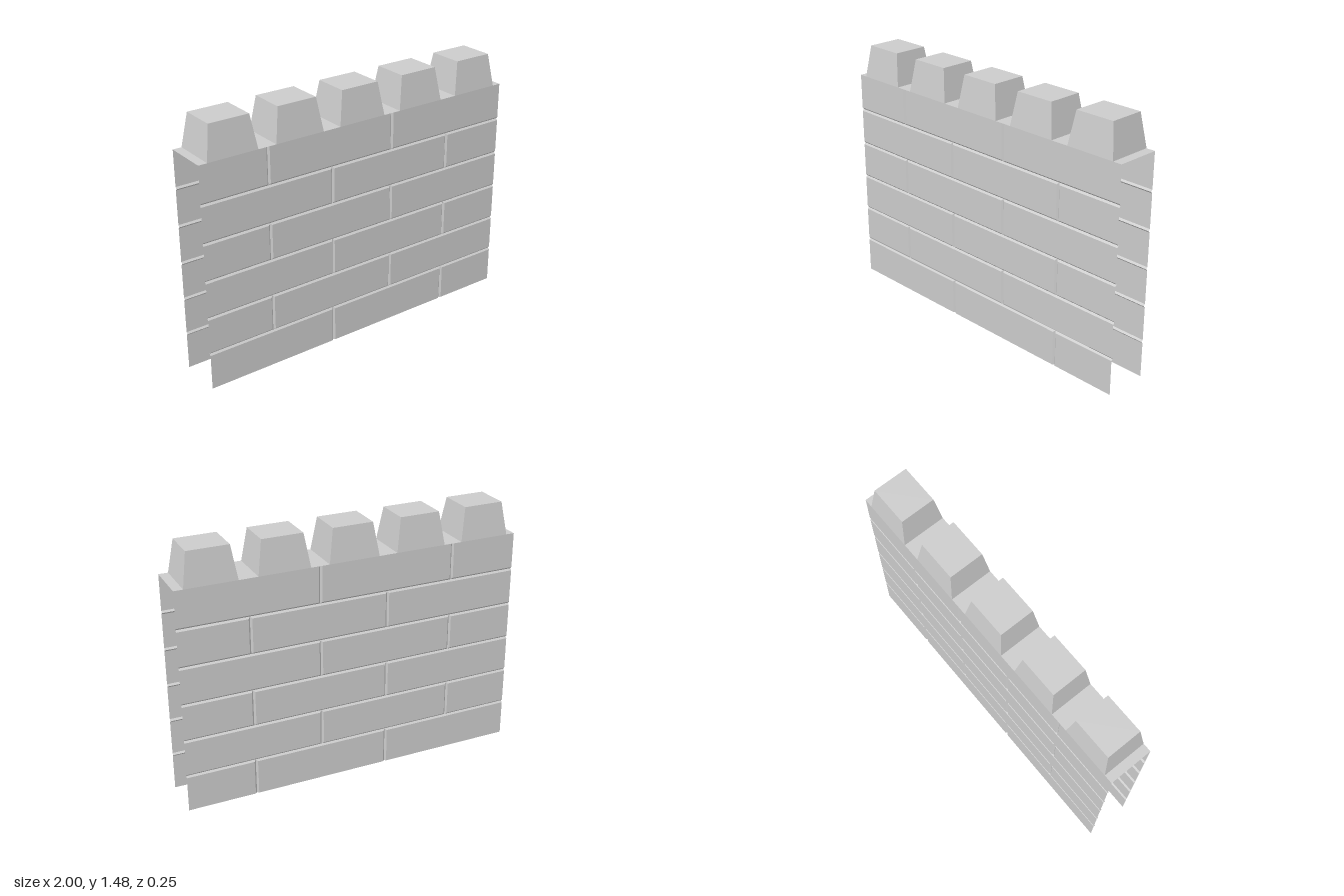
import * as THREE from 'three';
import { mergeGeometries } from 'three/addons/utils/BufferGeometryUtils.js';

const LENGTH = 2, HALF_DEPTH = 0.127, ROWS = 6, ROW_HEIGHT = 0.2158;
const WALL_TOP = ROWS * ROW_HEIGHT;
const BEVEL = 0.01, GROOVE = 0.009;

// Bottomless block rising along +z from rectangle [x0, y0, x1, y1].
// inset = [bottom, right, top, left]; a side with no inset stays open.
function taperedBlock([x0, y0, x1, y1], inset, z0, z1) {
  const [b, r, t, l] = inset;
  const base = [[x0, y0, z0], [x1, y0, z0], [x1, y1, z0], [x0, y1, z0]];
  const top = [
    [x0 + l, y0 + b, z1], [x1 - r, y0 + b, z1],
    [x1 - r, y1 - t, z1], [x0 + l, y1 - t, z1],
  ];
  const points = [];
  const quad = (p, q, s, u) => points.push(...p, ...q, ...s, ...p, ...s, ...u);
  quad(...top);
  for (let i = 0; i < 4; i++) {
    const j = (i + 1) % 4;
    if (inset[i] > 0) quad(base[i], base[j], top[j], top[i]);
  }
  const geometry = new THREE.BufferGeometry();
  geometry.setAttribute('position', new THREE.Float32BufferAttribute(points, 3));
  geometry.computeVertexNormals();
  return geometry;
}

// One brick face in running bond; flip = -1 reverses the joints for the rear side
function brickFace(flip) {
  const bricks = [];
  for (let row = 0; row < ROWS; row++) {
    const joints = (row % 2 === 0 ? [-0.2, 0.6] : [-0.6, 0.2]).map((x) => x * flip);
    const edges = [-LENGTH / 2, ...joints, LENGTH / 2].sort((a, b) => a - b);
    for (let i = 0; i < edges.length - 1; i++) {
      const inset = [
        row > 0 ? BEVEL : 0,
        i < edges.length - 2 ? BEVEL : 0,
        row < ROWS - 1 ? BEVEL : 0,
        i > 0 ? BEVEL : 0,
      ];
      const rect = [edges[i], row * ROW_HEIGHT, edges[i + 1], (row + 1) * ROW_HEIGHT];
      bricks.push(taperedBlock(rect, inset, HALF_DEPTH - GROOVE, HALF_DEPTH));
    }
  }
  return mergeGeometries(bricks);
}

export function createModel() {
  const wall = new THREE.Group();
  wall.name = 'battlementWall';
  const stone = new THREE.MeshStandardMaterial({
    color: 0xcccccc, flatShading: true, side: THREE.DoubleSide,
  });
  const add = (name, geometry) => {
    const mesh = new THREE.Mesh(geometry, stone);
    mesh.name = name;
    wall.add(mesh);
    return mesh;
  };

  // Brick faces, with the ends and underside left open
  add('frontBricks', brickFace(1));
  add('backBricks', brickFace(-1)).rotation.y = Math.PI;

  // Walkway closing the top
  const cover = add('wallTop', new THREE.PlaneGeometry(LENGTH, HALF_DEPTH * 2));
  cover.rotation.x = -Math.PI / 2;
  cover.position.y = WALL_TOP;

  // Tapered merlons
  const w = 0.147;
  const merlon = taperedBlock([-w, -HALF_DEPTH, w, HALF_DEPTH], [0.025, 0.03, 0.025, 0.03], 0, 0.19);
  merlon.rotateX(-Math.PI / 2);
  for (let i = 0; i < 5; i++) {
    add('merlon' + (i + 1), merlon).position.set(-0.803 + i * 0.401, WALL_TOP, 0);
  }
  return wall;
}
